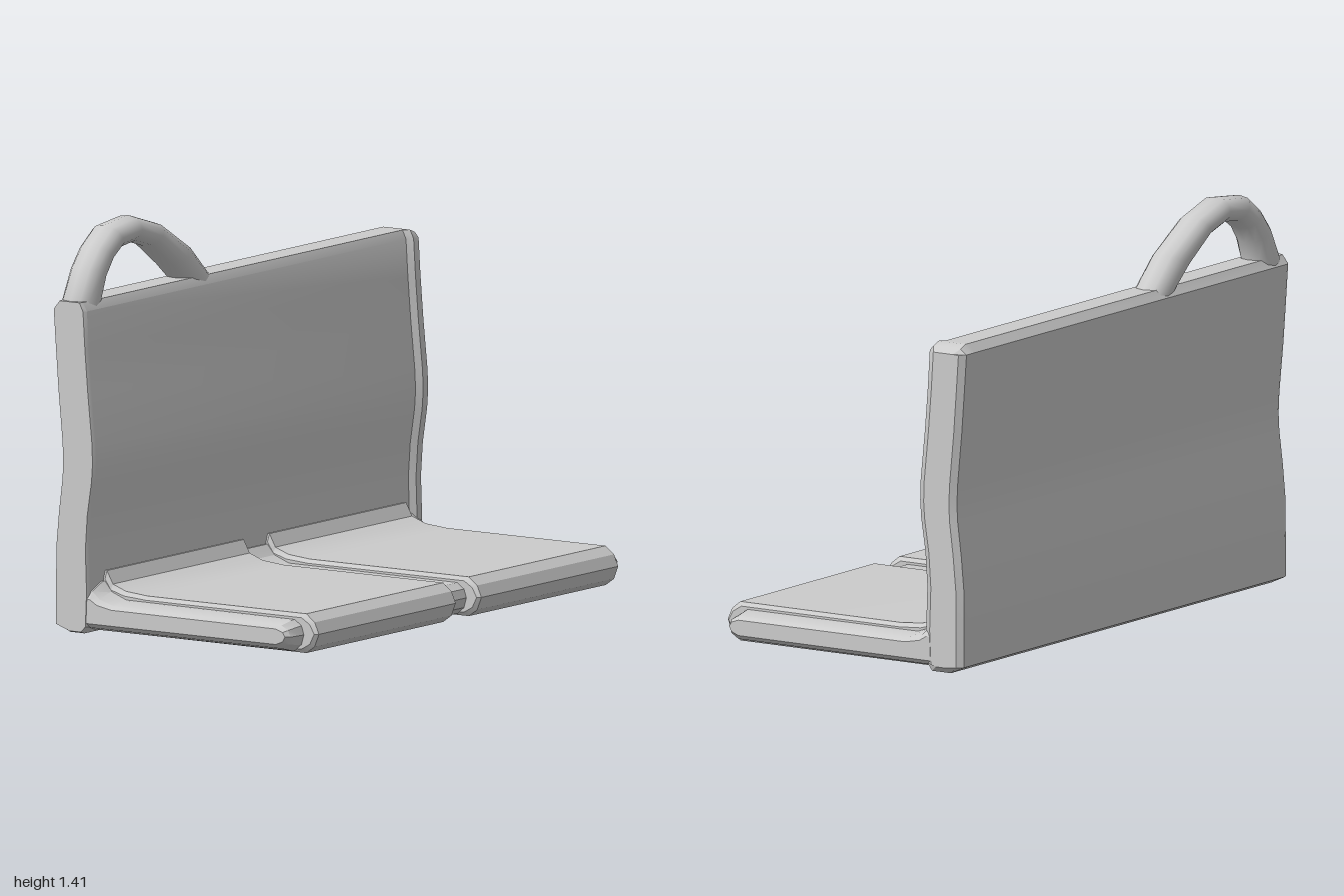
import * as THREE from 'three';
import { toCreasedNormals } from 'three/addons/utils/BufferGeometryUtils.js';

const grey = new THREE.MeshStandardMaterial({ color: 0xcccccc });

// Skin a list of closed rings (counter-clockwise, running towards -z), with end caps
function loft(name, rings, crease = 0.45) {
  const n = rings[0].length, pos = rings.flat(2), index = [];
  for (let r = 0; r < rings.length - 1; r++) {
    for (let i = 0; i < n; i++) {
      const j = (i + 1) % n, a = r * n, b = a + n;
      index.push(a + i, b + i, a + j, a + j, b + i, b + j);
    }
  }
  const flat = rings[0].map(p => new THREE.Vector2(p[0], p[1]));
  if (Math.abs(THREE.ShapeUtils.area(flat)) > 0.02) {
    const last = (rings.length - 1) * n;
    for (const [a, b, c] of THREE.ShapeUtils.triangulateShape(flat, [])) {
      index.push(a, b, c, last + a, last + c, last + b);
    }
  }
  const geo = new THREE.BufferGeometry();
  geo.setAttribute('position', new THREE.Float32BufferAttribute(pos, 3));
  geo.setIndex(index);
  const mesh = new THREE.Mesh(toCreasedNormals(geo, crease), grey);
  mesh.name = name;
  return mesh;
}

// Wavy backrest: rows of [height, rear x, front x]
const backRows = [
  [0.005, -0.46, -0.40], [0.03, -0.515, -0.38], [0.15, -0.515, -0.375], [0.3, -0.514, -0.38],
  [0.42, -0.503, -0.372], [0.54, -0.488, -0.354], [0.6, -0.485, -0.35], [0.67, -0.488, -0.352],
  [0.85, -0.505, -0.37], [1.0, -0.516, -0.382], [1.13, -0.525, -0.39], [1.16, -0.5, -0.405],
];

function backRing(z, forward, inset, topDrop = 0) {
  const point = (y, x) => [x, THREE.MathUtils.clamp(y, 0.005 + inset, 1.16 - topDrop), z];
  return [
    ...backRows.map(([y, , f]) => point(y, f + forward - inset)),
    ...backRows.map(([y, b]) => point(y, b + inset)).reverse(),
  ];
}

// Seat base and cushion outlines in x, y
const baseProfile = [
  [-0.46, 0.01], [0.43, 0.012], [0.458, 0.035], [0.468, 0.07], [0.458, 0.1], [0.43, 0.12],
  [-0.28, 0.122], [-0.34, 0.145], [-0.37, 0.18], [-0.46, 0.18],
];
const cushionProfile = [
  [-0.46, 0.005], [0.47, 0.005], [0.505, 0.03], [0.523, 0.075], [0.505, 0.115], [0.47, 0.142],
  [-0.2, 0.142], [-0.29, 0.15], [-0.345, 0.17], [-0.37, 0.215], [-0.46, 0.215],
];

// Outline pulled in towards its middle height and back from its front edge
const seatRing = (profile, z, squash, pull) =>
  profile.map(([x, y]) => [x > 0 ? x - pull : x, 0.075 + (y - 0.075) * squash, z]);

function cushion(name, z1, z0) {
  return loft(name, [
    seatRing(cushionProfile, z1, 0.8, 0.012),
    seatRing(cushionProfile, z1 - 0.012, 1, 0),
    seatRing(cushionProfile, z0 + 0.012, 1, 0),
    seatRing(cushionProfile, z0, 0.8, 0.012),
  ]);
}

// Grab handle: rows of [outer z, outer y, inner z, inner y]
const handleRows = [
  [0.995, 1.08, 0.86, 1.08], [0.99, 1.16, 0.845, 1.16], [0.93, 1.27, 0.825, 1.225],
  [0.87, 1.34, 0.785, 1.28], [0.79, 1.398, 0.73, 1.315], [0.64, 1.415, 0.65, 1.325],
  [0.49, 1.37, 0.55, 1.295], [0.31, 1.265, 0.43, 1.21], [0.2, 1.16, 0.355, 1.15],
  [0.15, 1.1, 0.31, 1.1],
];

function handle() {
  const sides = 12;
  const rings = handleRows.map(([oz, oy, iz, iy]) => Array.from({ length: sides }, (_, k) => {
    const a = (k / sides) * Math.PI * 2, s = Math.sin(a), c = Math.cos(a);
    return [
      -0.458 + 0.063 * Math.sign(c) * Math.pow(Math.abs(c), 0.8),
      (oy + iy) / 2 + ((oy - iy) / 2) * s,
      (oz + iz) / 2 + ((oz - iz) / 2) * s,
    ];
  }));
  return loft('grabHandle', rings, 0.9);
}

export function createModel() {
  const group = new THREE.Group();
  group.name = 'doubleSeat';

  // Backrest with a raised, bevelled rim at the far end
  group.add(loft('backrest', [
    backRing(1, 0, 0.006), backRing(0.985, 0, 0), backRing(-0.93, 0, 0),
    backRing(-0.95, 0.018, 0), backRing(-0.98, 0.018, 0, 0.012), backRing(-1, 0.01, 0.02, 0.03),
  ]));

  // Seat base with rounded ends
  group.add(loft('seatBase', [
    [0.998, 0.5, 0.015], [0.98, 0.75, 0.004], [0.92, 1, 0],
    [-0.92, 1, 0], [-0.98, 0.75, 0.004], [-0.998, 0.5, 0.015],
  ].map(([z, squash, pull]) => seatRing(baseProfile, z, squash, pull))));

  // Two cushions with a gap between them
  group.add(cushion('leftCushion', 0.905, 0.06), cushion('rightCushion', -0.07, -0.915));
  group.add(handle());
  return group;
}
